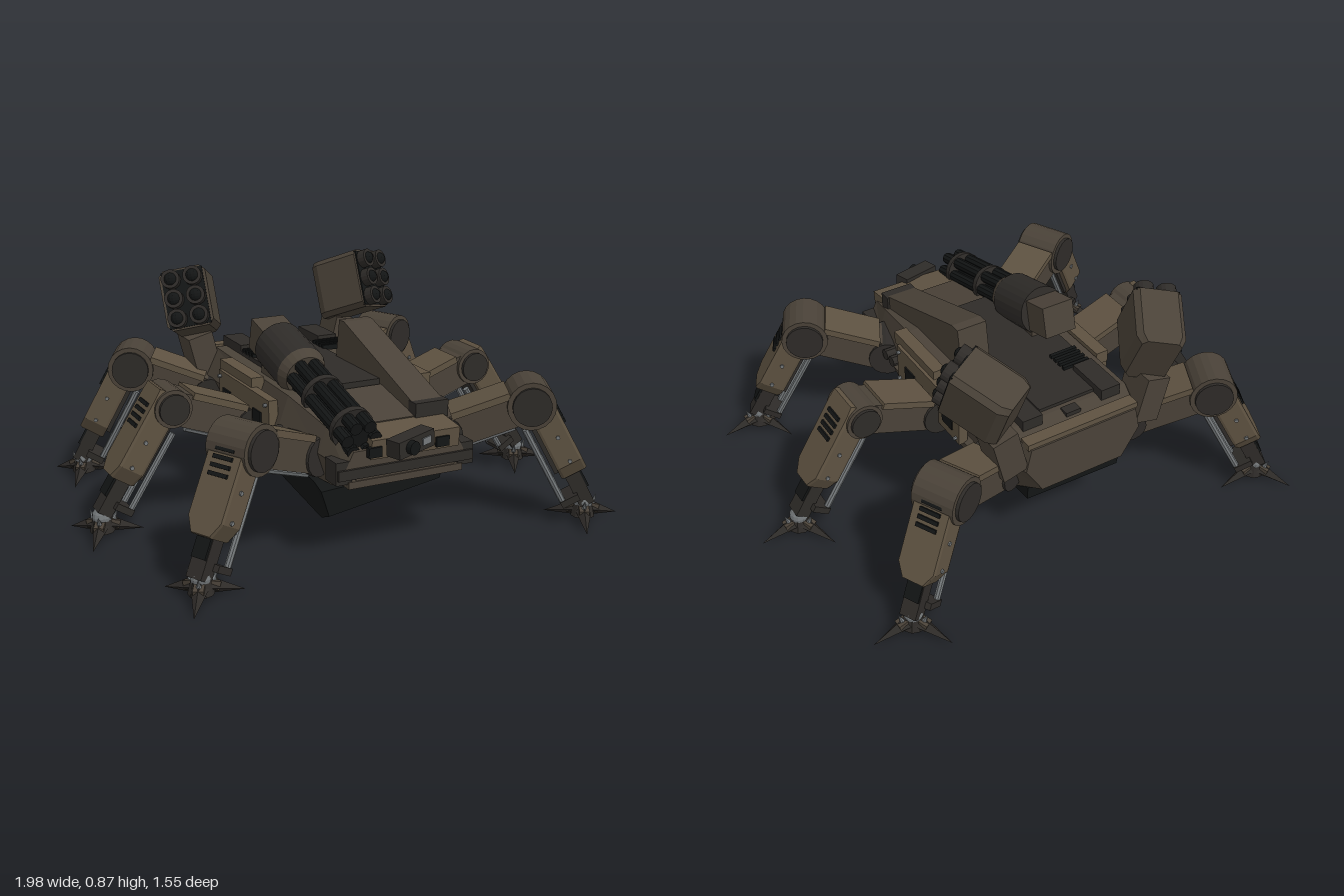
import * as THREE from 'three';

const mat = (color) => new THREE.MeshStandardMaterial({ color, flatShading: true });
const TAN = mat(0x5e5241), BROWN = mat(0x4a4238), DARK = mat(0x2e2b28), BLACK = mat(0x131515), METAL = mat(0x74787a);

function mesh(parent, name, geo, material, x = 0, y = 0, z = 0) {
  const m = new THREE.Mesh(geo, material);
  m.name = name;
  m.position.set(x, y, z);
  parent.add(m);
  return m;
}
const box = (p, name, m, w, h, d, x, y, z) => mesh(p, name, new THREE.BoxGeometry(w, h, d), m, x, y, z);
const cyl = (p, name, m, r0, r1, h, x, y, z, axis = 'y', n = 16) => {
  const g = new THREE.CylinderGeometry(r0, r1, h, n);
  if (axis === 'z') g.rotateX(Math.PI / 2);
  if (axis === 'x') g.rotateZ(-Math.PI / 2);
  return mesh(p, name, g, m, x, y, z);
};
function group(parent, name, x = 0, y = 0, z = 0) {
  const g = new THREE.Group();
  g.name = name;
  g.position.set(x, y, z);
  parent.add(g);
  return g;
}
// Extruded side profile: points are [z, y], thickness runs along x
function slab(p, name, m, pts, width, x) {
  const s = new THREE.Shape(pts.map(([z, y]) => new THREE.Vector2(-z, y)));
  const g = new THREE.ExtrudeGeometry(s, { depth: width, bevelEnabled: false });
  g.translate(0, 0, -width / 2).rotateY(Math.PI / 2);
  return mesh(p, name, g, m, x);
}
// Skin over rings of [x, y], counter-clockwise seen from +z, ordered back to front
function loft(rings) {
  const pos = [], n = rings[0].pts.length;
  const put = (i, j) => pos.push(...rings[i].pts[j % n], rings[i].z);
  for (let i = 0; i < rings.length - 1; i++) for (let j = 0; j < n; j++) {
    put(i, j); put(i, j + 1); put(i + 1, j + 1);
    put(i, j); put(i + 1, j + 1); put(i + 1, j);
  }
  const last = rings.length - 1;
  for (let j = 1; j < n - 1; j++) {
    put(last, 0); put(last, j); put(last, j + 1);
    put(0, 0); put(0, j + 1); put(0, j);
  }
  const g = new THREE.BufferGeometry();
  g.setAttribute('position', new THREE.Float32BufferAttribute(pos, 3));
  g.computeVertexNormals();
  return g;
}

function addHull(root) {
  const hull = group(root, 'hull');
  // z, half widths (top, middle, bottom), heights (top, middle, bottom)
  const stations = [
    [-0.55, 0.22, 0.24, 0.17, 0.49, 0.4, 0.29], [-0.44, 0.25, 0.3, 0.22, 0.52, 0.42, 0.25],
    [0.26, 0.26, 0.3, 0.24, 0.51, 0.4, 0.25], [0.5, 0.23, 0.26, 0.21, 0.46, 0.37, 0.25],
    [0.64, 0.2, 0.23, 0.17, 0.41, 0.35, 0.29]];
  mesh(hull, 'hullShell', loft(stations.map(([z, a, b, c, t, m, l]) =>
    ({ z, pts: [[c, l], [b, m], [a, t], [-a, t], [-b, m], [-c, l]] }))), BROWN);
  // Skewed belly plate
  mesh(hull, 'bellyPlate', loft([
    { z: -0.5, pts: [[-0.19, 0.21], [0.2, 0.22], [0.2, 0.27], [-0.2, 0.27]] },
    { z: 0.44, pts: [[-0.22, 0.11], [0.22, 0.2], [0.23, 0.26], [-0.25, 0.25]] },
    { z: 0.5, pts: [[-0.22, 0.135], [0.22, 0.205], [0.23, 0.26], [-0.25, 0.23]] }]), BLACK);
  cyl(hull, 'bellyHatch', DARK, 0.045, 0.04, 0.05, 0, 0.19, -0.06);
  // Deck
  box(hull, 'deckPanel', DARK, 0.31, 0.025, 0.7, -0.05, 0.52, -0.07);
  box(hull, 'frontDeckPlate', BROWN, 0.36, 0.03, 0.25, 0, 0.475, 0.41).rotation.x = 0.2;
  box(hull, 'rearDeckBeam', TAN, 0.46, 0.025, 0.05, 0, 0.5, -0.52);
  box(hull, 'rearDeckLatch', DARK, 0.06, 0.03, 0.04, 0, 0.51, -0.46);
  for (const s of [-1, 1]) {
    box(hull, 'deckBox', DARK, 0.08, 0.05, 0.18, s * 0.165, 0.53, -0.38);
    box(hull, 'deckRail', TAN, 0.05, 0.05, 0.3, s * 0.285, 0.5, s > 0 ? 0.12 : -0.1);
    for (let i = 0; i < 4; i++) box(hull, 'ventSlat', BLACK, 0.11, 0.02, 0.014, s * 0.15, 0.535, -0.27 + i * 0.027);
    // Side armour with hatches and bolts
    box(hull, 'sideArmour', TAN, 0.035, 0.16, 0.46, s * 0.305, 0.41, 0.0);
    box(hull, 'sideSkirt', BROWN, 0.03, 0.08, 0.66, s * 0.275, 0.3, -0.02).rotation.z = -s * 0.35;
    for (const z of [-0.15, 0.13]) box(hull, 'sideHatch', BLACK, 0.012, 0.06, 0.07, s * 0.322, 0.4, z);
    for (const z of [-0.21, 0.21]) for (const y of [0.35, 0.47]) cyl(hull, 'bolt', METAL, 0.007, 0.007, 0.02, s * 0.325, y, z, 'x', 6);
    for (let i = 0; i < 3; i++) cyl(hull, 'hipPipe', DARK, 0.022, 0.022, 0.1, s * 0.28, 0.39, 0.27 + i * 0.05, 'x', 10);
    box(hull, 'noseCheek', DARK, 0.06, 0.08, 0.08, s * 0.235, 0.34, 0.6);
    box(hull, 'headlamp', BLACK, 0.05, 0.035, 0.02, s * 0.13, 0.405, 0.655);
  }
  // Nose
  box(hull, 'nosePlate', TAN, 0.34, 0.07, 0.15, 0.03, 0.42, 0.58).rotation.x = 0.12;
  box(hull, 'noseBar', DARK, 0.52, 0.035, 0.05, 0, 0.335, 0.625);
  box(hull, 'noseLip', BROWN, 0.44, 0.025, 0.05, 0, 0.295, 0.62);
  const sensor = group(hull, 'sensor', -0.01, 0.43, 0.685);
  sensor.rotation.set(0, 0.3, 0.08);
  box(sensor, 'sensorBody', DARK, 0.17, 0.06, 0.06, 0, 0, 0);
  cyl(sensor, 'sensorLens', BLACK, 0.024, 0.024, 0.03, -0.03, 0, 0.035, 'z');
  box(sensor, 'sensorWindow', METAL, 0.04, 0.025, 0.01, 0.045, 0, 0.03);
}

function addWeapons(root) {
  // Sloping launcher housing on the left of the deck
  const pts = [[0.54, 0.44], [0.54, 0.5], [0.0, 0.68], [-0.04, 0.68], [-0.07, 0.5]];
  slab(root, 'launcherHousing', BROWN, pts, 0.12, 0.152);
  box(root, 'launcherMuzzle', DARK, 0.13, 0.06, 0.05, 0.155, 0.48, 0.52);

  // Rotary gun, pitched down towards the nose
  const gun = group(root, 'rotaryGun', -0.17, 0.592, 0.08);
  gun.rotation.x = 0.25;
  cyl(gun, 'gunDrum', DARK, 0.094, 0.094, 0.2, 0, 0, 0.0, 'z', 24);
  cyl(gun, 'gunCollar', BROWN, 0.076, 0.094, 0.04, 0, 0, 0.12, 'z', 24);
  box(gun, 'gunBreech', BROWN, 0.13, 0.12, 0.13, 0, 0.0, -0.15);
  cyl(gun, 'gunSpindle', BLACK, 0.035, 0.035, 0.45, 0, 0, 0.34, 'z');
  for (let i = 0; i < 6; i++) {
    const a = i * Math.PI / 3;
    cyl(gun, 'gunBarrel', BLACK, 0.023, 0.023, 0.46, 0.052 * Math.cos(a), 0.052 * Math.sin(a), 0.35, 'z', 10);
  }
  for (const z of [0.28, 0.5]) cyl(gun, 'barrelClamp', DARK, 0.078, 0.078, 0.025, 0, 0, z, 'z', 24);
  box(root, 'gunMount', BROWN, 0.12, 0.1, 0.2, -0.17, 0.52, 0.06);

  // Rocket pods, two columns of three tubes each, toed out and then tipped back
  for (const s of [-1, 1]) {
    box(root, 'podPylon', BROWN, 0.1, 0.18, 0.13, s * 0.3, 0.49, -0.48).rotation.z = -s * 0.25;
    const pod = group(root, 'rocketPod', s * 0.35, 0.713, -0.44);
    pod.rotation.set(-0.42, s * 0.5, 0);
    const w = 0.09, h = 0.117, c = 0.02;
    const ring = (z, k) => ({ z, pts: [[w - c, -h], [w, -h + c], [w, h - c], [w - c, h], [c - w, h], [-w, h - c], [-w, c - h], [c - w, -h]].map(([x, y]) => [x * k, y]) });
    mesh(pod, 'podCase', loft([ring(-0.125, 0.8), ring(-0.09, 1), ring(0.1, 1)]), BROWN);
    box(pod, 'podFace', BLACK, 0.16, 0.22, 0.01, 0, 0, 0.1);
    for (const x of [-0.042, 0.042]) for (const y of [-0.076, 0, 0.076]) {
      cyl(pod, 'rocketTube', DARK, 0.036, 0.036, 0.04, x, y, 0.118, 'z');
      mesh(pod, 'rocketTip', new THREE.SphereGeometry(0.026, 12, 8), BLACK, x, y, 0.128);
    }
  }
}

function addLeg(root, z0, angle, kneeR, footR) {
  const leg = group(root, 'leg', 0, 0, z0);
  leg.rotation.y = -angle;
  const kneeX = 0.62, kneeY = 0.46;
  // Hip and thigh
  cyl(leg, 'hipJoint', DARK, 0.07, 0.07, 0.16, 0.31, 0.35, 0, 'z');
  const thigh = group(leg, 'thigh', 0.3, 0.345, 0);
  thigh.rotation.z = 0.35;
  box(thigh, 'thighBeam', BROWN, 0.32, 0.12, 0.14, 0.17, 0, 0);
  box(thigh, 'thighPlate', TAN, 0.22, 0.025, 0.16, 0.17, 0.06, 0);
  for (const s of [-1, 1]) cyl(thigh, 'thighPiston', METAL, 0.014, 0.014, 0.24, 0.14, -0.065, s * 0.04, 'x', 8);
  // Knee
  cyl(leg, 'kneeDrum', BROWN, kneeR, kneeR, 0.165, kneeX, kneeY, 0, 'z', 20);
  cyl(leg, 'kneeCap', DARK, kneeR * 0.8, kneeR * 0.8, 0.19, kneeX, kneeY, 0, 'z', 20);
  // Shin, running down local -y with its outer face on +x
  const shin = group(leg, 'shin', kneeX, kneeY, 0);
  shin.rotation.z = Math.atan2(footR - kneeX, kneeY - 0.06);
  const outline = new THREE.Shape([[-0.065, 0.04], [-0.07, 0], [-0.07, -0.26], [-0.04, -0.31], [0.04, -0.31], [0.07, -0.26], [0.07, 0], [0.065, 0.04]]
    .map(([x, y]) => new THREE.Vector2(x, y)));
  const armour = new THREE.ExtrudeGeometry(outline, { depth: 0.08, bevelThickness: 0.01, bevelSize: 0.004, bevelSegments: 1 });
  mesh(shin, 'shinArmour', armour.rotateY(Math.PI / 2), TAN, -0.015, 0, 0);
  for (let i = 0; i < 4; i++) box(shin, 'shinVent', BLACK, 0.012, 0.014, 0.08, 0.077, -0.03 - i * 0.028, 0);
  for (const y of [-0.03, -0.15, -0.25]) cyl(shin, 'shinBolt', METAL, 0.008, 0.008, 0.16, 0.03, y, 0, 'z', 6);
  for (const s of [-1, 1]) cyl(shin, 'shinPiston', METAL, 0.012, 0.012, 0.32, -0.06, -0.24, s * 0.04, 'y', 8);
  box(shin, 'shinCore', DARK, 0.05, 0.3, 0.1, -0.015, -0.13, 0);
  box(shin, 'ankleStrut', DARK, 0.055, 0.18, 0.065, 0.015, -0.36, 0);
  box(shin, 'anklePlate', BLACK, 0.012, 0.07, 0.06, 0.045, -0.35, 0);
  box(shin, 'pistonFoot', DARK, 0.07, 0.025, 0.11, -0.035, -0.4, 0);

  // Clawed foot; every foot keeps the same heading
  const foot = group(root, 'foot', footR * Math.cos(angle), 0, z0 + footR * Math.sin(angle));
  cyl(foot, 'footHub', DARK, 0.03, 0.045, 0.06, 0, 0.05, 0, 'y', 10);
  mesh(foot, 'ankleBall', new THREE.SphereGeometry(0.036, 12, 8), METAL, 0, 0.075, 0);
  for (let i = 0; i < 3; i++) {
    const toe = group(foot, 'toe');
    toe.rotation.y = i * Math.PI * 2 / 3;
    cyl(toe, 'claw', DARK, 0, 0.03, 0.14, 0.088, 0.024, 0, 'x', 4).rotation.z = -0.3;
    box(toe, 'toeKnuckle', BROWN, 0.04, 0.03, 0.036, 0.04, 0.045, 0).rotation.z = -0.3;
    cyl(toe, 'toeSpur', METAL, 0, 0.01, 0.04, 0.05, 0.075, 0, 'y', 6).rotation.z = -0.4;
  }
}

export function createModel() {
  const model = new THREE.Group();
  model.name = 'hexapodWalker';
  const root = group(model, 'walker', -0.032, 0, 0);
  addHull(root);
  addWeapons(root);
  // Three legs per side, the outer pairs splayed forwards and backwards
  for (const k of [-1, 0, 1]) {
    const a = k * 0.455;
    for (const angle of [a, Math.PI - a]) addLeg(root, k * 0.275, angle, k ? 0.088 : 0.07, k ? 0.835 : 0.875);
  }
  return model;
}
